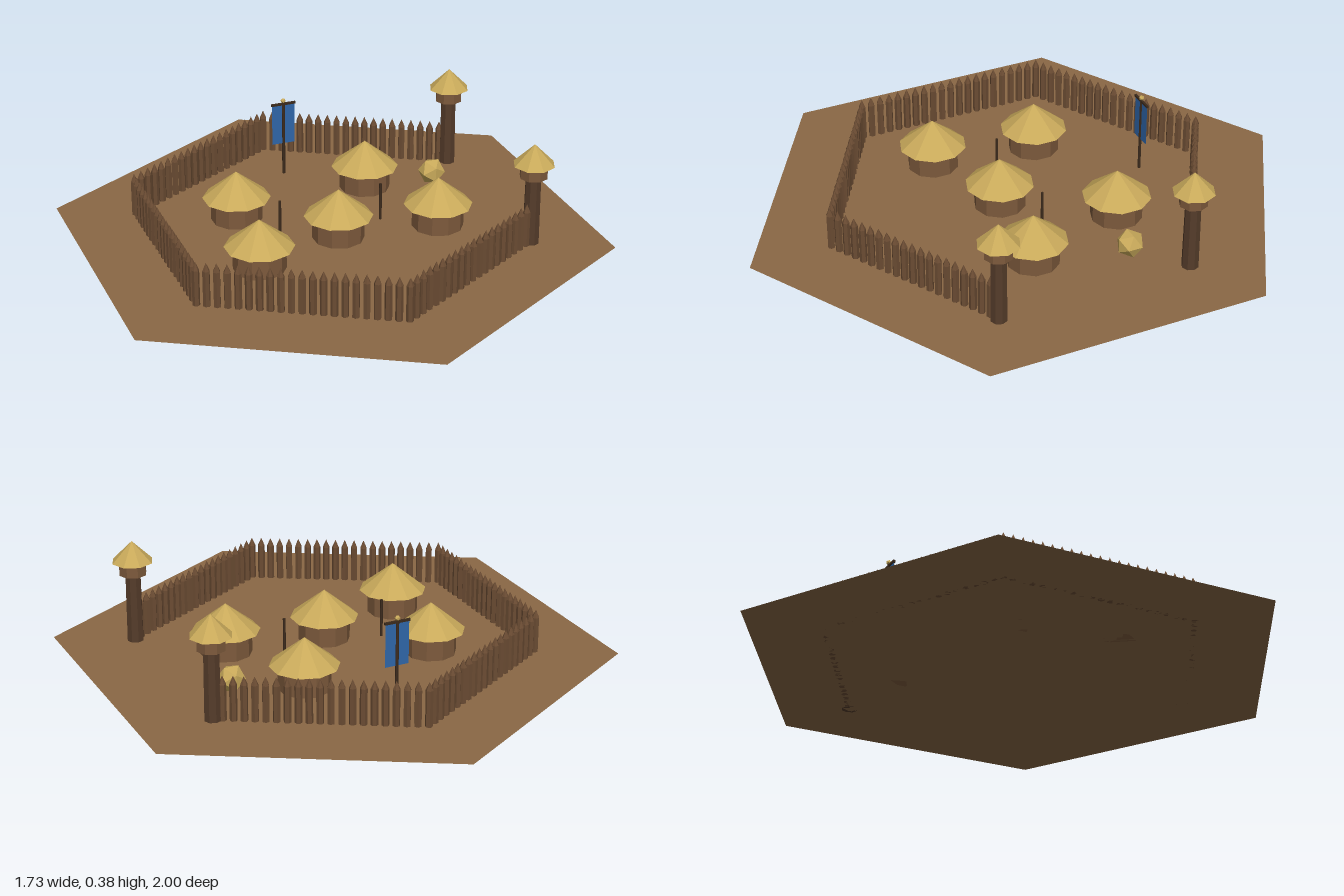
import * as THREE from 'three';

const mat = (name, color, extra = {}) => {
  const m = new THREE.MeshStandardMaterial({ color, flatShading: true, ...extra });
  m.name = name;
  return m;
};

export function createModel() {
  const earth = mat('earth', 0x8a6845, { side: THREE.DoubleSide });
  const straw = mat('straw', 0xc8a95a);
  const wall = mat('mudWall', 0x7d5a3c);
  const stakeWood = mat('stakeWood', 0x6b4c33);
  const towerWood = mat('towerWood', 0x553c2a);
  const darkWood = mat('darkWood', 0x3b2a1c);
  const cloth = mat('blueCloth', 0x2f66a8, { side: THREE.DoubleSide });

  const model = new THREE.Group();
  model.name = 'palisadeVillage';

  const add = (parent, name, geo, material, x = 0, y = 0, z = 0) => {
    const m = new THREE.Mesh(geo, material);
    m.name = name;
    m.position.set(x, y, z);
    parent.add(m);
    return m;
  };
  const group = (name, x, z) => {
    const g = new THREE.Group();
    g.name = name;
    g.position.set(x, 0, z);
    model.add(g);
    return g;
  };

  // Hexagonal ground with corners on the z axis
  const ground = new THREE.CircleGeometry(1, 6, Math.PI / 2);
  ground.rotateX(-Math.PI / 2);
  add(model, 'ground', ground, earth);

  // Palisade: five sides of a hexagon, open on +x
  const R = 0.707, perSide = 20;
  const corner = (k) => {
    const a = Math.PI / 6 + k * Math.PI / 3;
    return new THREE.Vector2(Math.cos(a) * R, Math.sin(a) * R);
  };
  const fence = group('palisade', 0, 0);
  const shaft = new THREE.CylinderGeometry(0.013, 0.013, 0.13, 6);
  const tip = new THREE.ConeGeometry(0.013, 0.03, 6);
  for (let k = 0; k < 5; k++) {
    for (let i = 0; i < perSide; i++) {
      if (k === 0 && i === 0) continue; // tower stands here
      const p = corner(k).lerp(corner(k + 1), i / perSide);
      const turn = (k * perSide + i) * 0.9;
      add(fence, 'stake', shaft, stakeWood, p.x, 0.065, p.y).rotation.y = turn;
      add(fence, 'stakeTip', tip, stakeWood, p.x, 0.145, p.y).rotation.y = turn;
    }
  }

  // Watchtowers at both ends of the opening
  for (const s of [-1, 1]) {
    const t = group('watchtower', 0.61, s * 0.354);
    add(t, 'towerPost', new THREE.CylinderGeometry(0.028, 0.03, 0.255, 8), towerWood, 0, 0.1275);
    add(t, 'towerCabin', new THREE.CylinderGeometry(0.05, 0.05, 0.05, 8), wall, 0, 0.278);
    add(t, 'towerRoof', new THREE.ConeGeometry(0.074, 0.075, 8), straw, 0, 0.338);
  }

  // Round huts
  const huts = [[-0.285, -0.19], [0.237, -0.265], [0, 0.075], [0.362, 0.115], [-0.333, 0.19]];
  for (const [x, z] of huts) {
    const h = group('hut', x, z);
    add(h, 'hutWall', new THREE.CylinderGeometry(0.092, 0.092, 0.085, 10), wall, 0, 0.0425);
    add(h, 'hutRoof', new THREE.ConeGeometry(0.122, 0.1, 10), straw, 0, 0.135);
  }

  // Haystack
  add(model, 'haystack', new THREE.IcosahedronGeometry(0.05, 0), straw, 0.475, 0.053, -0.195);

  // Two thin posts in the yard
  for (const s of [-1, 1]) {
    add(model, 'yardPost', new THREE.CylinderGeometry(0.005, 0.005, 0.14, 6), darkWood, s * 0.19, 0.07, 0);
  }

  // Banner on a pole
  const b = group('banner', 0, -0.48);
  add(b, 'bannerPole', new THREE.CylinderGeometry(0.006, 0.006, 0.29, 6), darkWood, 0, 0.145);
  add(b, 'crossbar', new THREE.BoxGeometry(0.094, 0.008, 0.008), darkWood, 0, 0.281);
  add(b, 'bannerCloth', new THREE.PlaneGeometry(0.088, 0.155), cloth, 0, 0.2);
  add(b, 'finial', new THREE.IcosahedronGeometry(0.01, 0), straw, 0, 0.294);

  return model;
}
